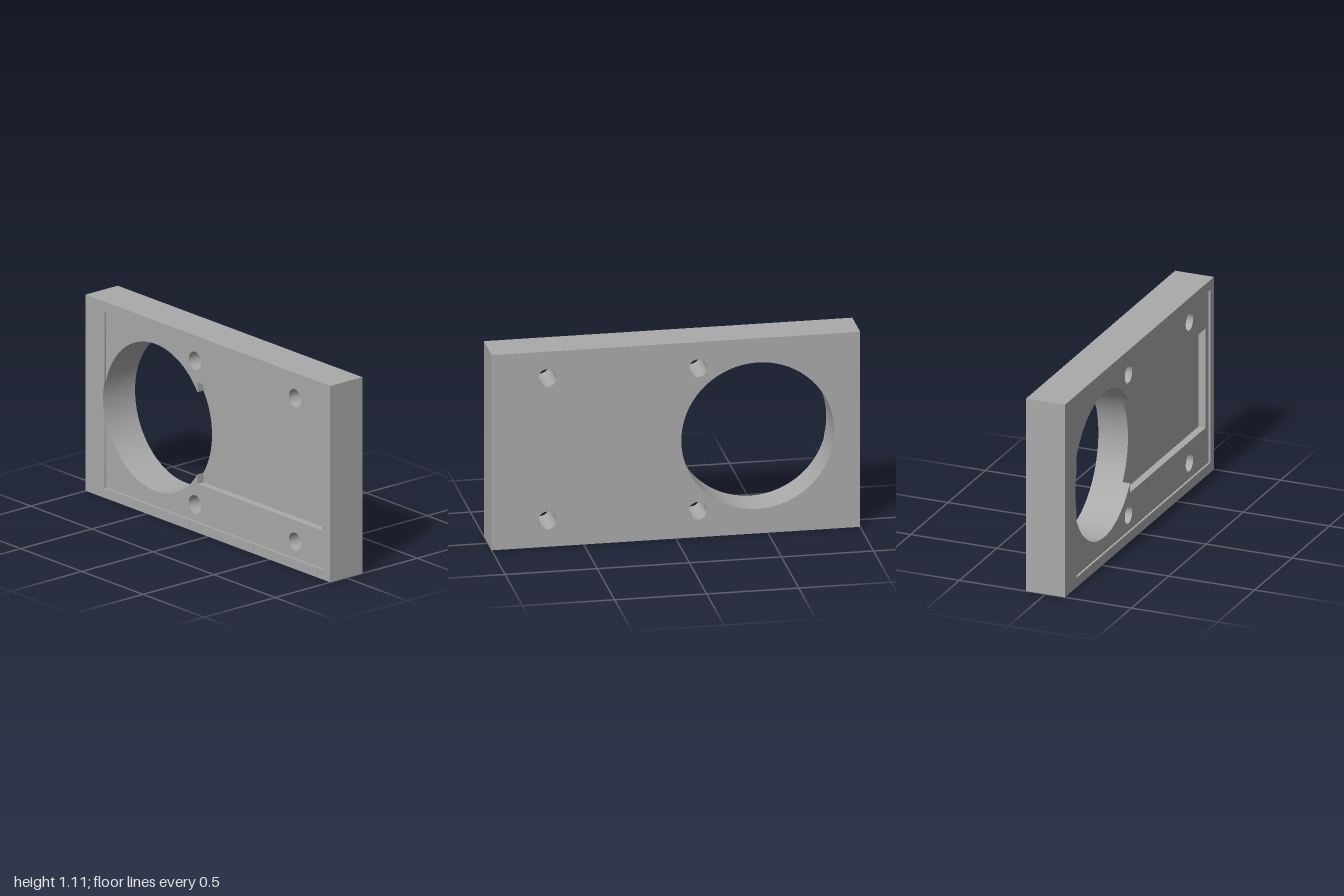
import * as THREE from 'three';
import { toCreasedNormals } from 'three/addons/utils/BufferGeometryUtils.js';

// Overall plate size and the depths of the two steps in its front face
const W = 2, H = 1.106, D = 0.226;
const RECESS_DEPTH = 0.012, POCKET_DEPTH = 0.042;
const BORE = { x: -0.444, y: 0.554, r: 0.4145 };
const RECESS = { x0: -0.847, x1: 0.953, y0: 0.056, y1: 1.05 };
const POCKET = { x0: -0.1, x1: 0.916, y0: 0.269, y1: 0.84 };

function circle(x, y, r) {
  const p = new THREE.Path();
  p.absarc(x, y, r, 0, Math.PI * 2, false);
  return p;
}

// Outline of the bore joined with a rectangle whose left edge cuts through it
function boreWithRect({ x0, x1, y0, y1 }) {
  const a = Math.acos((x0 - BORE.x) / BORE.r);
  const p = new THREE.Path();
  p.absarc(BORE.x, BORE.y, BORE.r, a, Math.PI * 2 - a, false);
  p.lineTo(x0, y0);
  p.lineTo(x1, y0);
  p.lineTo(x1, y1);
  p.lineTo(x0, y1);
  return p;
}

// One slice of the plate between two depths
function layer(name, z0, z1, holes, material) {
  const s = new THREE.Shape();
  s.moveTo(-W / 2, 0);
  s.lineTo(W / 2, 0);
  s.lineTo(W / 2, H);
  s.lineTo(-W / 2, H);
  s.closePath();
  s.holes.push(...holes);
  const g = new THREE.ExtrudeGeometry(s, { depth: z1 - z0, bevelEnabled: false, curveSegments: 72 });
  g.translate(0, 0, z0);
  const mesh = new THREE.Mesh(toCreasedNormals(g, 0.5), material);
  mesh.name = name;
  return mesh;
}

export function createModel() {
  const group = new THREE.Group();
  group.name = 'mountingPlate';
  const grey = new THREE.MeshStandardMaterial({ color: 0xaaaaaa });
  grey.name = 'grey';

  // Four screw holes
  const screwHoles = () => [-0.119, 0.698].flatMap(x =>
    [0.149, 0.957].map(y => circle(x, y, 0.05)));

  const front = D / 2, recessZ = front - RECESS_DEPTH, pocketZ = recessZ - POCKET_DEPTH;
  group.add(
    // Solid back with the round bore
    layer('backPlate', -front, pocketZ, [circle(BORE.x, BORE.y, BORE.r), ...screwHoles()], grey),
    // Slice holding the rectangular pocket that opens into the bore
    layer('pocketLayer', pocketZ, recessZ, [boreWithRect(POCKET), ...screwHoles()], grey),
    // Raised rim around the shallow recess
    layer('frontRim', recessZ, front, [boreWithRect(RECESS)], grey)
  );
  return group;
}
